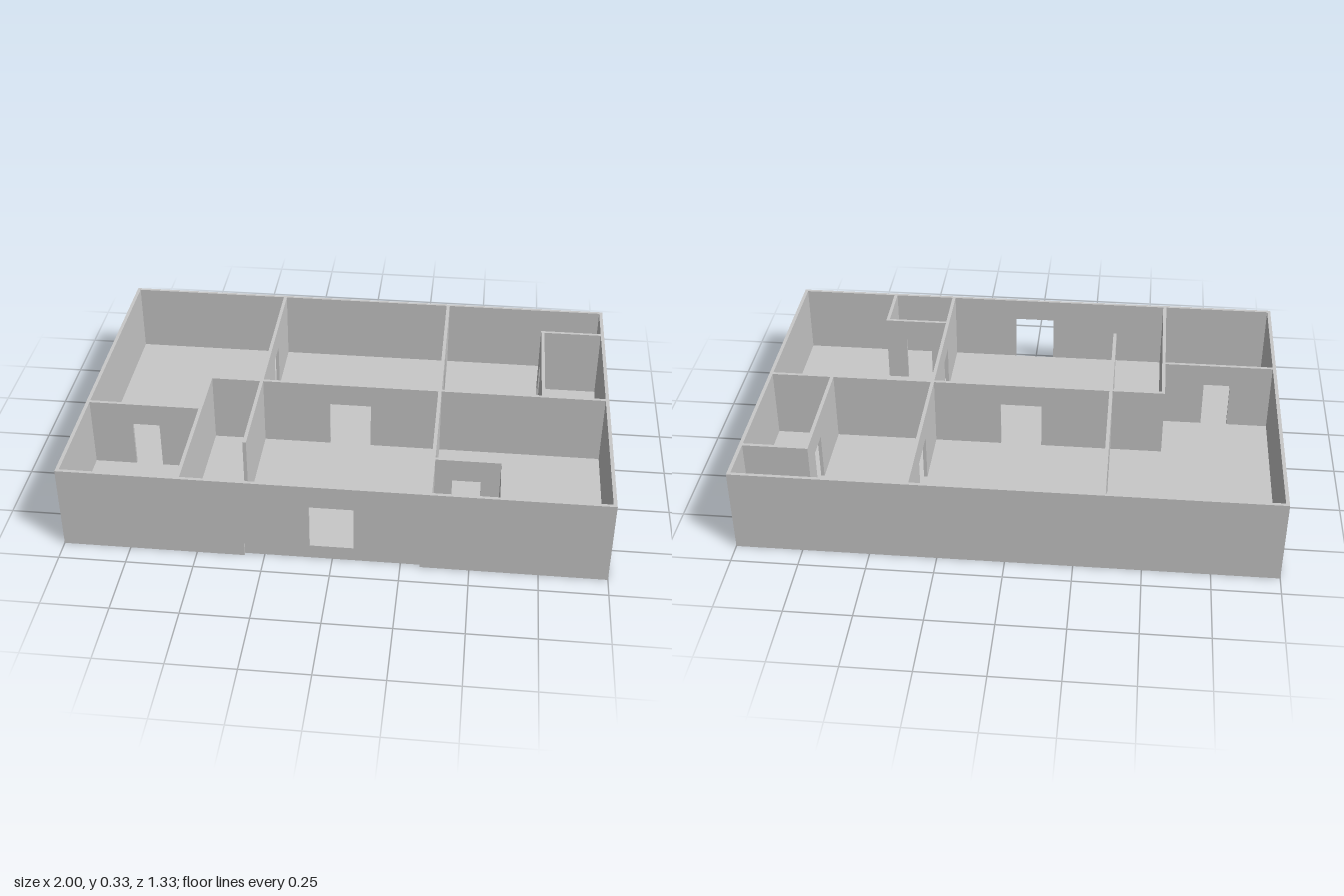
import * as THREE from 'three';

const H = 0.333;        // wall height
const T = 0.0133;       // wall thickness
const FLOOR = 0.056;    // top of the floor slab
const DOOR = 0.243;     // top of the door openings
const W = 1, D = 0.667; // half width and half depth of the house

// Door opening as a notch in the lower edge of a partition
const door = (a, b) => [[a, FLOOR], [a, DOOR], [b, DOOR], [b, FLOOR]];

// Upright wall running along x or z, centred on the line `at`
function wallGeometry(base, axis, at, from, to, notches = []) {
  const outline = [[from, base], ...notches.flat(), [to, base], [to, H], [from, H]];
  const shape = new THREE.Shape(outline.map(([u, y]) => new THREE.Vector2(u, y)));
  const geo = new THREE.ExtrudeGeometry(shape, { depth: T, bevelEnabled: false });
  if (axis === 'x') return geo.translate(0, 0, at - T / 2);
  return geo.rotateY(-Math.PI / 2).translate(at + T / 2, 0, 0);
}

export function createModel() {
  const house = new THREE.Group();
  house.name = 'floorPlan';
  const plaster = new THREE.MeshStandardMaterial({ color: 0xc8c8c8 });
  plaster.name = 'light grey';

  const add = (name, geo) => {
    const mesh = new THREE.Mesh(geo, plaster);
    mesh.name = name;
    house.add(mesh);
  };

  // Raised floor slab between the outer walls
  add('floor', new THREE.BoxGeometry(2 * (W - T), FLOOR, 2 * (D - T)).translate(0, FLOOR / 2, 0));

  // Front entrance: a doorway above a wide, low step recess
  const entrance = [
    [-0.323, 0], [-0.323, FLOOR], [-0.082, FLOOR], [-0.082, DOOR],
    [0.08, DOOR], [0.08, FLOOR], [0.321, FLOOR], [0.321, 0],
  ];

  const h = T / 2;
  const outerWalls = [
    ['frontWall', 'x', D - h, -W, W, [entrance]],
    ['backWall', 'x', -D + h, -W, W],
    ['leftWall', 'z', W - h, -D + T, D - T],
    ['rightWall', 'z', -W + h, -D + T, D - T],
  ];
  const partitions = [
    // Main partitions
    ['crossWall', 'x', 0.001, -0.561, W - T, [door(-0.082, 0.08)]],
    ['rightPartition', 'z', -0.352, -D + T, 0.423, [door(-0.39, -0.285)]],
    ['leftPartition', 'z', 0.349, -D + T, D - T, [door(-0.42, -0.255), door(0.28, 0.385)]],
    // Front right room
    ['frontRoomSideWall', 'z', -0.555, h, D - T],
    ['frontRoomBackWall', 'x', 0.215, -W + T, -0.555 - h, [door(-0.825, -0.72)]],
    // Back left small room
    ['smallRoomSideWall', 'z', 0.749, -0.481 + h, -h, [door(-0.39, -0.285)]],
    ['smallRoomBackWall', 'x', -0.481, 0.749 - h, W - T],
    // Closet by the front wall
    ['closetBackWall', 'x', 0.448, 0.349 + h, 0.601 + h, [door(0.42, 0.525)]],
    ['closetSideWall', 'z', 0.601, 0.448 + h, D - T],
  ];
  for (const [name, ...spec] of outerWalls) add(name, wallGeometry(0, ...spec));
  for (const [name, ...spec] of partitions) add(name, wallGeometry(FLOOR, ...spec));

  return house;
}
